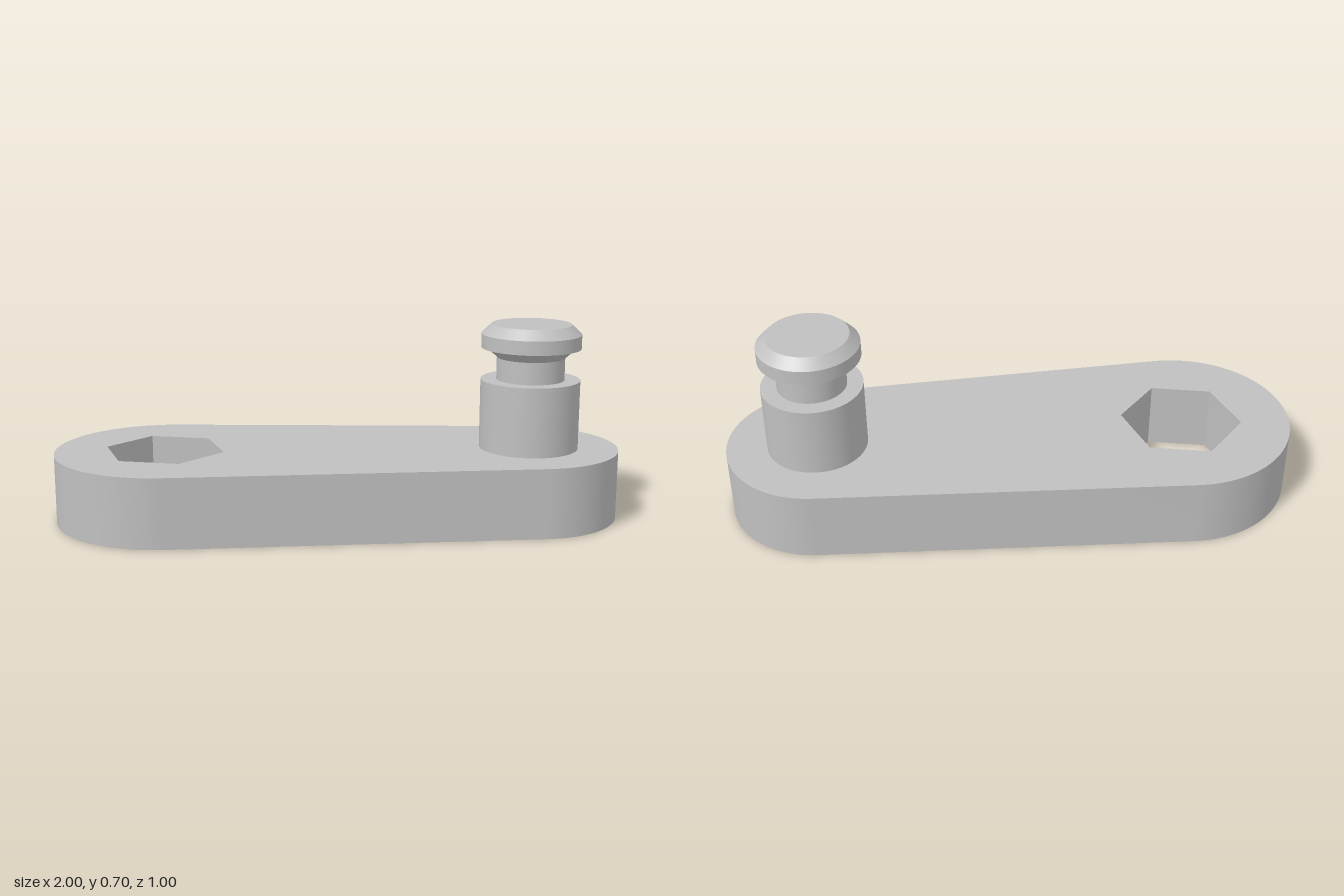
import * as THREE from 'three';
import { mergeGeometries, toCreasedNormals } from 'three/addons/utils/BufferGeometryUtils.js';

// Plan positions use (x, -z); the extrusion is then laid flat.
const HUB = { x: -0.607, y: -0.105, r: 0.393 };
const TIP = { x: 0.678, y: 0.178, r: 0.322 };

// Tapered lever: two arcs joined by their outer tangents, with a hexagonal socket
function armGeometry() {
  const dx = TIP.x - HUB.x, dy = TIP.y - HUB.y;
  const axis = Math.atan2(dy, dx);
  const spread = Math.acos((HUB.r - TIP.r) / Math.hypot(dx, dy));
  const outline = new THREE.Shape();
  outline.absarc(HUB.x, HUB.y, HUB.r, axis + spread, axis - spread + Math.PI * 2, false);
  outline.absarc(TIP.x, TIP.y, TIP.r, axis - spread, axis + spread, false);
  outline.closePath();

  const corners = [];
  for (let i = 0; i < 6; i++) {
    const a = -i * Math.PI / 3;
    corners.push(new THREE.Vector2(HUB.x + 0.218 * Math.cos(a), HUB.y + 0.218 * Math.sin(a)));
  }
  outline.holes.push(new THREE.Path(corners));

  const geometry = new THREE.ExtrudeGeometry(outline, { depth: 0.25, bevelEnabled: false, curveSegments: 48 });
  geometry.rotateX(-Math.PI / 2);
  return toCreasedNormals(geometry, Math.PI / 6);
}

// Turned part with a hard edge at every profile point
function turned(profile) {
  const bands = [];
  for (let i = 0; i < profile.length - 1; i++) {
    const pair = [profile[i], profile[i + 1]].map(([r, y]) => new THREE.Vector2(r, y));
    bands.push(new THREE.LatheGeometry(pair, 64));
  }
  return mergeGeometries(bands);
}

export function createModel() {
  const model = new THREE.Group();
  model.name = 'crankLever';
  const grey = new THREE.MeshStandardMaterial({ color: 0xc0c0c0 });
  grey.name = 'grey';

  const add = (name, geometry, x = 0, z = 0) => {
    const mesh = new THREE.Mesh(geometry, grey);
    mesh.name = name;
    mesh.position.set(x, 0, z);
    model.add(mesh);
  };

  add('leverArm', armGeometry());
  // Pin: wide base, narrow neck, flared underside and chamfered head
  add('pinBase', turned([[0.178, 0.25], [0.178, 0.5], [0.1215, 0.5]]), TIP.x, -TIP.y);
  add('pinNeck', turned([[0.1215, 0.5], [0.1215, 0.58], [0.158, 0.615]]), TIP.x, -TIP.y);
  add('pinHead', turned([[0.158, 0.615], [0.178, 0.615], [0.178, 0.665], [0.143, 0.7], [0, 0.7]]), TIP.x, -TIP.y);
  return model;
}
